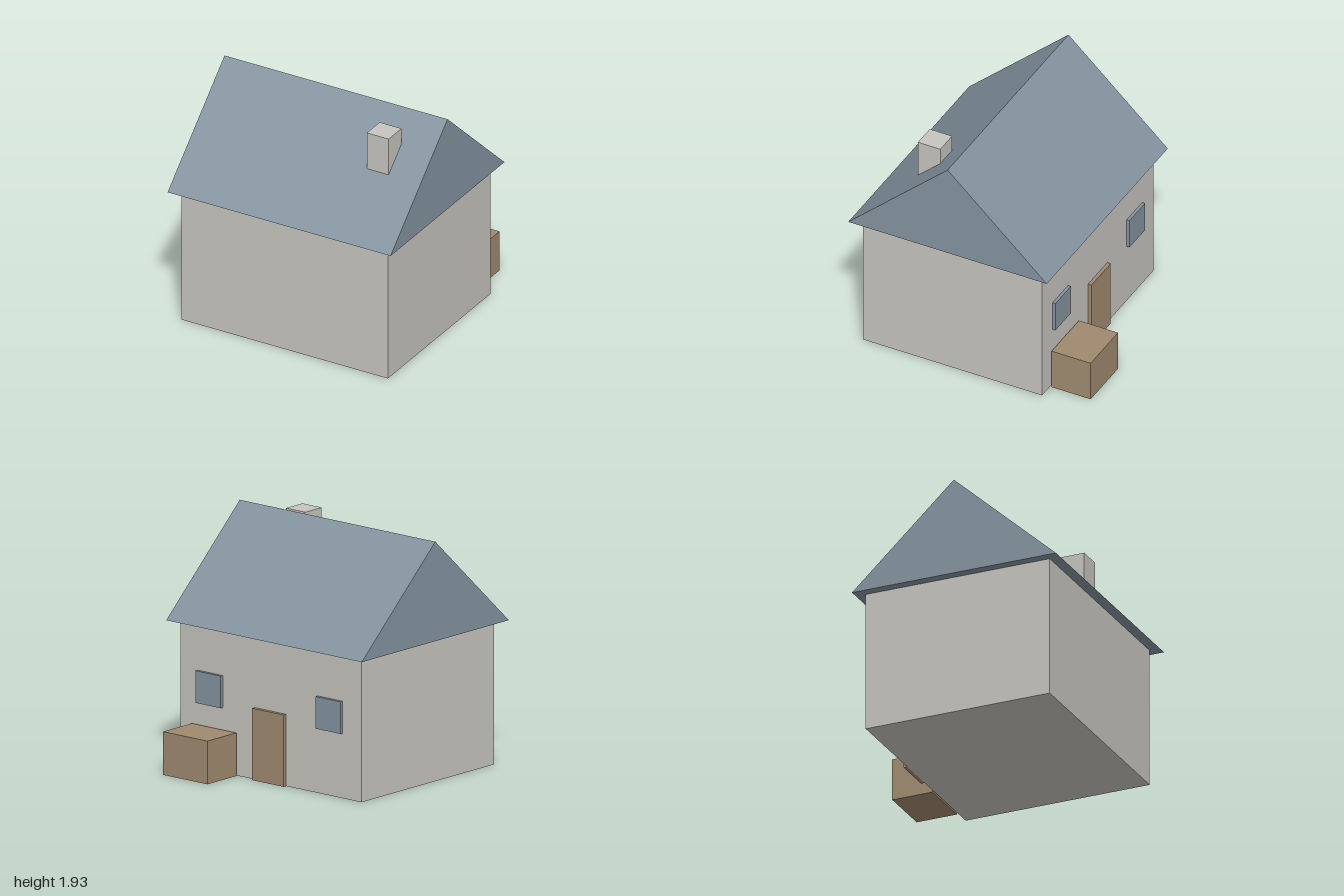
import * as THREE from 'three';

export function createModel() {
  const house = new THREE.Group();
  house.name = 'cottage';

  const makeMaterial = (name, color) => {
    const m = new THREE.MeshStandardMaterial({ color });
    m.name = name;
    return m;
  };
  const plaster = makeMaterial('plaster', 0xc6c4be);
  const slate = makeMaterial('slate', 0x84939f);
  const wood = makeMaterial('wood', 0x9f8a6f);

  // Box given by its extents along each axis
  const addBox = (name, material, [x0, x1], [y0, y1], [z0, z1]) => {
    const mesh = new THREE.Mesh(new THREE.BoxGeometry(x1 - x0, y1 - y0, z1 - z0), material);
    mesh.position.set((x0 + x1) / 2, (y0 + y1) / 2, (z0 + z1) / 2);
    mesh.name = name;
    house.add(mesh);
  };

  // Walls and chimney
  addBox('walls', plaster, [-0.92, 0.92], [0, 1.14], [-0.645, 0.913]);
  addBox('chimney', plaster, [0.515, 0.71], [1.555, 1.87], [0.35, 0.545]);

  // Gabled roof: triangle in (z, y) swept along x
  const gable = new THREE.Shape([
    new THREE.Vector2(-1, 1.14),
    new THREE.Vector2(0.727, 1.14),
    new THREE.Vector2(-0.136, 1.93),
  ]);
  const roofGeometry = new THREE.ExtrudeGeometry(gable, { depth: 1.99, bevelEnabled: false });
  roofGeometry.translate(0, 0, -0.995).rotateY(Math.PI / 2);
  const roof = new THREE.Mesh(roofGeometry, slate);
  roof.name = 'roof';
  house.add(roof);

  // Door and the two windows on the back wall
  addBox('door', wood, [-0.155, 0.165], [0, 0.57], [-0.675, -0.64]);
  addBox('windowLeft', slate, [0.49, 0.745], [0.515, 0.77], [-0.67, -0.64]);
  addBox('windowRight', slate, [-0.73, -0.475], [0.515, 0.77], [-0.67, -0.64]);

  // Storage crate beside the door
  addBox('crate', wood, [0.34, 0.79], [0, 0.343], [-1, -0.66]);

  return house;
}
